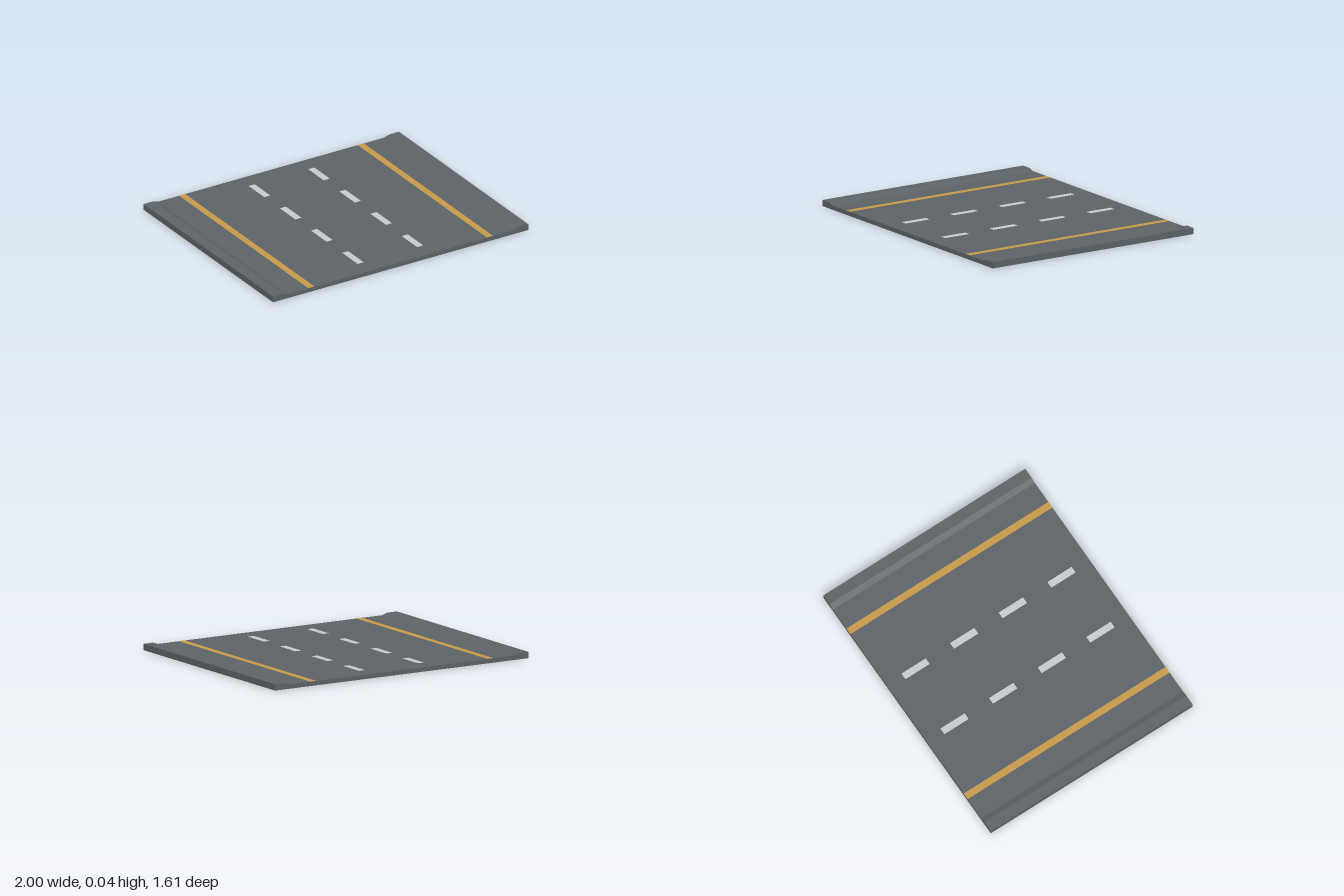
import * as THREE from 'three';

const HALF_LENGTH = 0.805;
const ROAD_Y = 0.03;
const KERB_Y = 0.043;

function material(name, color) {
  const m = new THREE.MeshStandardMaterial({ color });
  m.name = name;
  return m;
}

export function createModel() {
  const asphalt = material('asphalt grey', 0x5d6367);
  const yellow = material('line yellow', 0xc79a4a);
  const white = material('dash white', 0xc8cbce);
  const model = new THREE.Group();
  model.name = 'roadTile';

  // Road slab: one cross-section with a raised, bevelled shoulder on each side
  const profile = new THREE.Shape([
    [-1, 0], [1, 0], [1, KERB_Y], [0.925, KERB_Y], [0.885, ROAD_Y],
    [-0.885, ROAD_Y], [-0.925, KERB_Y], [-1, KERB_Y],
  ].map(([x, y]) => new THREE.Vector2(x, y)));
  const slabGeometry = new THREE.ExtrudeGeometry(profile, {
    depth: HALF_LENGTH * 2, bevelEnabled: false,
  });
  slabGeometry.translate(0, 0, -HALF_LENGTH);
  const slab = new THREE.Mesh(slabGeometry, asphalt);
  slab.name = 'roadSlab';
  model.add(slab);

  // Painted markings: flat faces just above the road surface
  function addMarking(name, mat, x, z, width, length) {
    const geometry = new THREE.PlaneGeometry(width, length).rotateX(-Math.PI / 2);
    const mesh = new THREE.Mesh(geometry, mat);
    mesh.name = name;
    mesh.position.set(x, ROAD_Y + 0.001, z);
    model.add(mesh);
  }

  for (const [side, sign] of [['left', 1], ['right', -1]]) {
    addMarking(`${side}EdgeLine`, yellow, sign * 0.7, 0, 0.048, HALF_LENGTH * 2);
    for (let i = 0; i < 4; i++) {
      addMarking(`${side}LaneDash${i + 1}`, white, sign * 0.233, (i - 1.5) * 0.388, 0.048, 0.194);
    }
  }
  return model;
}
